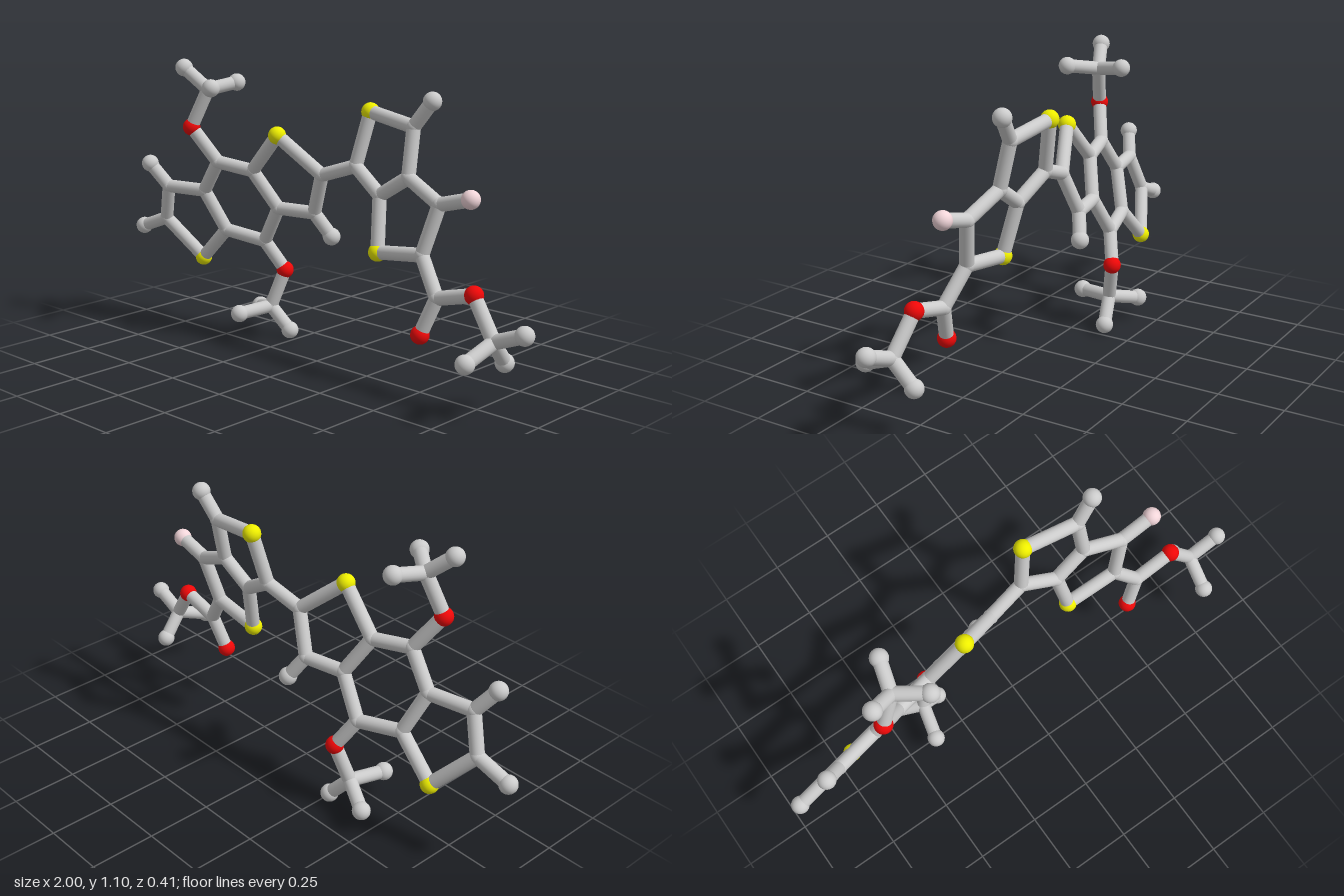
import * as THREE from 'three';

const ATOM_R = 0.034, JOINT_R = 0.028, BOND_R = 0.026;
const grey = new THREE.MeshStandardMaterial({ color: 0xcccccc });
const materials = {
  C: grey,
  H: grey,
  S: new THREE.MeshStandardMaterial({ color: 0xeeee00 }),
  O: new THREE.MeshStandardMaterial({ color: 0xee0808 }),
  F: new THREE.MeshStandardMaterial({ color: 0xf2d6da }),
};
const names = { C: 'carbonJoint', H: 'hydrogen', S: 'sulfur', O: 'oxygen', F: 'fluorine' };

// Each fused ring system is flat, so depth follows from x and y
const leftPlane = (x, y) => -0.29 - 0.205 * x + 0.295 * y;
const rightPlane = (x, y) => 0.055 + 0.068 * x - 0.21 * y;

// Three-ring system: the first letter of a key is the element
const leftAtoms = {
  H1: [-0.97, 0.38], C1: [-0.84, 0.43], S1: [-0.70, 0.275],
  C2: [-0.785, 0.575], H2: [-0.85, 0.665], C3: [-0.61, 0.575], C4: [-0.55, 0.415],
  C5: [-0.51, 0.705], C6: [-0.355, 0.685], C7: [-0.275, 0.54], C8: [-0.375, 0.39],
  O5: [-0.595, 0.84], O8: [-0.31, 0.275],
  S2: [-0.205, 0.84], C9: [-0.045, 0.70], C10: [-0.115, 0.54], H10: [-0.06, 0.45],
};

// Two-ring system with the ester arm
const rightAtoms = {
  C11: [0.105, 0.75], S3: [0.14, 0.95], C12: [0.36, 0.92], H12: [0.43, 1.015],
  C13: [0.37, 0.745], C14: [0.245, 0.665], S4: [0.275, 0.468], C15: [0.485, 0.495],
  C16: [0.53, 0.675], F16: [0.665, 0.712], C17: [0.58, 0.365],
  O17: [0.53, 0.23], O18: [0.74, 0.407],
};

// Methyl ends: carbon and its three hydrogens
const methylAtoms = {
  C20: [-0.53, 0.99, 0.05], H20: [-0.62, 1.07, 0.09], H21: [-0.425, 1.01, 0.13], H22: [-0.495, 1.01, -0.07],
  C30: [-0.355, 0.125, -0.11], H30: [-0.48, 0.09, -0.173], H31: [-0.275, 0.036, -0.135], H32: [-0.39, 0.115, 0.03],
  C40: [0.84, 0.27, 0.04], H40: [0.965, 0.32, 0.045], H41: [0.82, 0.22, 0.168], H42: [0.83, 0.178, -0.04],
};

const bonds = [
  'H1 C1', 'C1 S1', 'C1 C2', 'C2 H2', 'C2 C3', 'C3 C4', 'C4 S1',
  'C3 C5', 'C5 C6', 'C6 C7', 'C7 C8', 'C8 C4', 'C5 O5', 'C8 O8',
  'C6 S2', 'S2 C9', 'C9 C10', 'C10 C7', 'C10 H10',
  'C9 C11', 'C11 S3', 'S3 C12', 'C12 H12', 'C12 C13', 'C13 C14', 'C14 C11',
  'C14 S4', 'S4 C15', 'C15 C16', 'C16 C13', 'C16 F16',
  'C15 C17', 'C17 O17', 'C17 O18',
  'O5 C20', 'C20 H20', 'C20 H21', 'C20 H22',
  'O8 C30', 'C30 H30', 'C30 H31', 'C30 H32',
  'O18 C40', 'C40 H40', 'C40 H41', 'C40 H42',
];

export function createModel() {
  const model = new THREE.Group();
  model.name = 'moleculeStickModel';
  const ball = new THREE.SphereGeometry(ATOM_R, 24, 16);
  const joint = new THREE.SphereGeometry(JOINT_R, 24, 16);
  const rod = new THREE.CylinderGeometry(BOND_R, BOND_R, 1, 20, 1, true);
  const points = {};

  // Atoms, grouped by fragment
  const addAtoms = (name, atoms, plane) => {
    const group = new THREE.Group();
    group.name = name;
    for (const [key, [x, y, z]] of Object.entries(atoms)) {
      const element = key[0];
      const atom = new THREE.Mesh(element === 'C' ? joint : ball, materials[element]);
      atom.name = names[element];
      atom.position.set(x, y, plane ? plane(x, y) : z);
      points[key] = atom.position;
      group.add(atom);
    }
    model.add(group);
  };
  addAtoms('threeRingAtoms', leftAtoms, leftPlane);
  addAtoms('twoRingAtoms', rightAtoms, rightPlane);
  addAtoms('methylAtoms', methylAtoms);

  // Rods between bonded atoms
  const rods = new THREE.Group();
  rods.name = 'bonds';
  const up = new THREE.Vector3(0, 1, 0);
  for (const pair of bonds) {
    const [a, b] = pair.split(' ').map((key) => points[key]);
    const along = b.clone().sub(a);
    const bond = new THREE.Mesh(rod, grey);
    bond.name = 'bond';
    bond.position.copy(a).addScaledVector(along, 0.5);
    bond.scale.y = along.length();
    bond.quaternion.setFromUnitVectors(up, along.normalize());
    rods.add(bond);
  }
  model.add(rods);
  return model;
}
